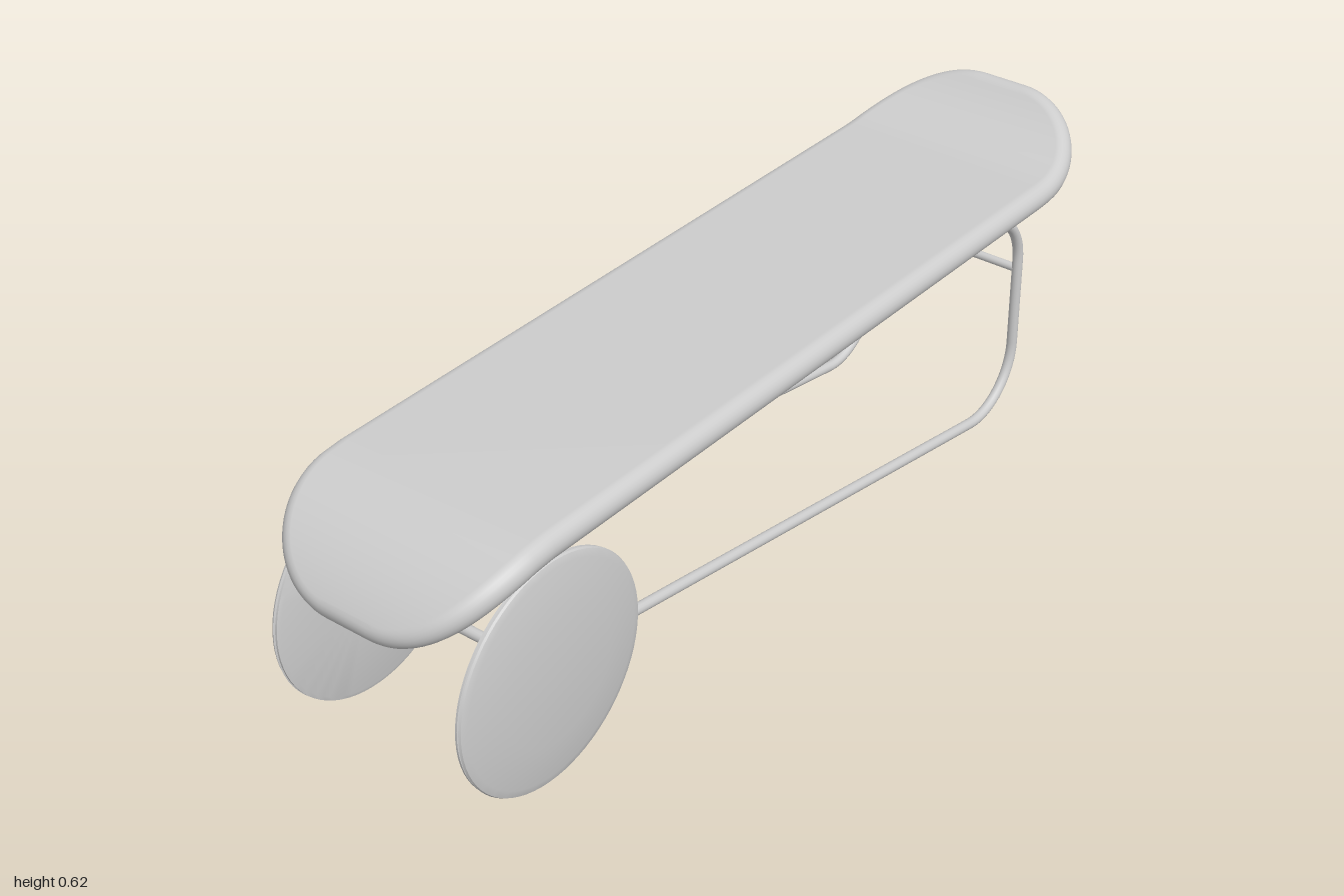
import * as THREE from 'three';
import { toCreasedNormals } from 'three/addons/utils/BufferGeometryUtils.js';

const grey = new THREE.MeshStandardMaterial({ color: 0xcccccc });
grey.name = 'lightGrey';

const AXLE = { y: 0.234, z: 0.74 };
const RAIL_X = 0.182, TUBE = 0.011;

function add(parent, name, geometry, x = 0, y = 0, z = 0) {
  const mesh = new THREE.Mesh(geometry, grey);
  mesh.name = name;
  mesh.position.set(x, y, z);
  parent.add(mesh);
  return mesh;
}

// Flat pad with a bullnose edge, bent down at the front and up at the back
function cushionGeometry() {
  const r = 0.028, flat = 0.75, midY = 0.51;
  const cornerX = 0.2, cornerS = 0.24, halfWidth = 0.248, steps = 22, edge = 12;
  const bends = {
    front: { R: 0.2775, angle: 0.927, up: -1 },
    back: { R: 0.338, angle: 0.7155, up: 1 },
  };
  // s runs along the pad, h is the height above its middle surface
  const place = (x, s, h) => {
    const { R, angle, up } = s > 0 ? bends.front : bends.back;
    const past = Math.max(0, Math.abs(s) - flat);
    const phi = Math.min(past / R, angle), extra = past - phi * R;
    let q = Math.min(Math.abs(s), flat) + R * Math.sin(phi) + extra * Math.cos(phi);
    let y = midY + up * (R * (1 - Math.cos(phi)) + extra * Math.sin(phi));
    q -= up * Math.sin(phi) * h;
    y += Math.cos(phi) * h;
    return [x, y, s > 0 ? q : -q];
  };
  // Half outline from back to front, with its outward normal
  const corner = (bend, sign) => {
    const end = flat + bend.R * bend.angle + r, list = [];
    for (let i = 0; i <= steps; i++) {
      const u = (i / steps) * Math.PI / 2;
      const n = new THREE.Vector2(Math.cos(u) / cornerX, sign * Math.sin(u) / cornerS).normalize();
      list.push({
        x: halfWidth - cornerX + cornerX * Math.cos(u),
        s: sign * (end - cornerS + cornerS * Math.sin(u)), n,
      });
    }
    return list;
  };
  const side = (s) => ({ x: halfWidth, s, n: new THREE.Vector2(1, 0) });
  const stations = [
    ...corner(bends.back, -1).reverse(),
    ...[-0.75, -0.4, 0, 0.4, 0.75].map(side),
    ...corner(bends.front, 1),
  ];
  const pos = [], idx = [], loop = 2 * (edge + 1);
  for (const { x, s, n } of stations) {
    for (let k = 0; k < loop; k++) {
      const right = k <= edge;
      const a = ((right ? k : loop - 1 - k) / edge - 0.5) * Math.PI;
      const inset = r * (1 - Math.cos(a));
      const px = x - n.x * inset;
      pos.push(...place(right ? px : -px, s - n.y * inset, r * Math.sin(a)));
    }
  }
  const quad = (a, b, c, d) => idx.push(a, b, c, a, c, d);
  const last = stations.length - 1;
  for (let i = 0; i < last; i++) {
    for (let k = 0; k < loop; k++) {
      const k2 = (k + 1) % loop;
      quad(i * loop + k, i * loop + k2, (i + 1) * loop + k2, (i + 1) * loop + k);
    }
  }
  // Straight middle of each end
  for (let k = 0; k < edge; k++) {
    const f = last * loop, o = loop - 1 - k;
    quad(f + k, f + k + 1, f + o - 1, f + o);
    quad(o, o - 1, k + 1, k);
  }
  const g = new THREE.BufferGeometry();
  g.setAttribute('position', new THREE.Float32BufferAttribute(pos, 3));
  g.setIndex(idx);
  g.computeVertexNormals();
  return g;
}

// Bent tube through [z, y, bend radius] corners
function bentTube(corners) {
  const v = corners.map(([z, y]) => new THREE.Vector3(0, y, z));
  const path = new THREE.CurvePath();
  let from = v[0];
  for (let i = 1; i < v.length - 1; i++) {
    const d0 = v[i].clone().sub(v[i - 1]).normalize();
    const d1 = v[i + 1].clone().sub(v[i]).normalize();
    const turn = d0.angleTo(d1), R = corners[i][2];
    const reach = R * Math.tan(turn / 2), handle = R * (4 / 3) * Math.tan(turn / 4);
    const a = v[i].clone().addScaledVector(d0, -reach);
    const b = v[i].clone().addScaledVector(d1, reach);
    path.add(new THREE.LineCurve3(from, a));
    path.add(new THREE.CubicBezierCurve3(a, a.clone().addScaledVector(d0, handle),
      b.clone().addScaledVector(d1, -handle), b));
    from = b;
  }
  path.add(new THREE.LineCurve3(from, v[v.length - 1]));
  return new THREE.TubeGeometry(path, 260, TUBE, 14, false);
}

// Disc wheel with a shallow dome outside, a grooved rim and a hub plate inside
function wheelGeometry() {
  const profile = [
    [0, 0.2], [0.07, 0.2], [0.07, 0.204], [0.222, 0.204], [0.23, 0.207],
    [0.23, 0.211], [0.226, 0.213], [0.231, 0.215], [0.229, 0.219],
    [0.215, 0.222], [0.135, 0.233], [0, 0.233],
  ].map(([radius, x]) => new THREE.Vector2(radius, x));
  const g = new THREE.LatheGeometry(profile, 72);
  g.rotateZ(-Math.PI / 2);
  return toCreasedNormals(g, 0.4);
}

export function createModel() {
  const model = new THREE.Group();
  model.name = 'wheeledLounger';

  add(model, 'cushion', cushionGeometry());

  // Side frames start and end at the axle
  const frame = bentTube([
    [AXLE.z, AXLE.y],
    [AXLE.z, 0.471, 0.13],
    [-0.777, 0.471, 0.13],
    [-0.777, -0.012, 0.13],
    [AXLE.z, AXLE.y],
  ]);
  const wheel = wheelGeometry();
  for (const [name, sign] of [['left', 1], ['right', -1]]) {
    add(model, name + 'Frame', frame, sign * RAIL_X);
    const w = add(model, name + 'Wheel', wheel, 0, AXLE.y, AXLE.z);
    if (sign < 0) w.rotation.y = Math.PI;
  }

  // Cross members
  const bar = (name, radius, length, y, z) =>
    add(model, name, new THREE.CylinderGeometry(radius, radius, length, 16).rotateZ(Math.PI / 2), 0, y, z);
  bar('axle', TUBE, 0.404, AXLE.y, AXLE.z);
  bar('rearCrossbar', 0.009, 2 * RAIL_X, 0.319, -0.777);
  bar('frontSeatSupport', 0.008, 2 * RAIL_X, 0.471, 0.49);
  bar('rearSeatSupport', 0.008, 2 * RAIL_X, 0.471, -0.49);

  return model;
}
